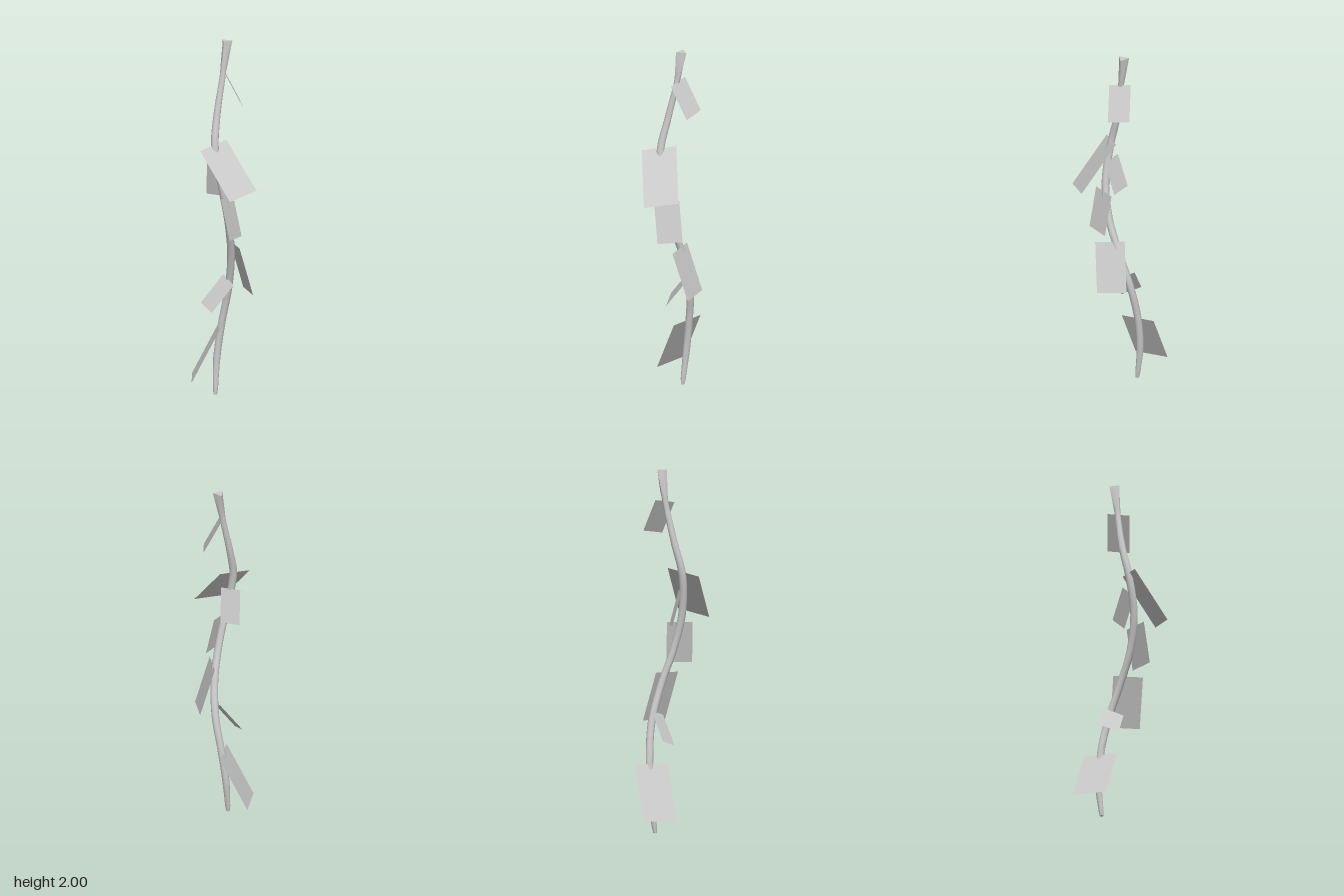
import * as THREE from 'three';
import { toCreasedNormals } from 'three/addons/utils/BufferGeometryUtils.js';

const material = new THREE.MeshStandardMaterial({ color: 0xcccccc });
const leafMaterial = new THREE.MeshStandardMaterial({ color: 0xcccccc, side: THREE.DoubleSide });
const v = (p) => new THREE.Vector3(...p);

// centre line of the stem, root tip to top
const path = new THREE.CatmullRomCurve3([
  [-0.037, 0, -0.115], [-0.027, 0.2, -0.135], [0, 0.4, -0.13], [0.034, 0.6, -0.1],
  [0.043, 0.8, -0.038], [0.022, 1, 0.03], [-0.015, 1.2, 0.063], [-0.052, 1.42, 0.045],
  [-0.037, 1.6, 0.003], [-0.002, 1.82, -0.033], [0.018, 2, -0.052],
].map(v));

// stem radius by height: pointed root, even body, narrow neck
const radii = [[0, 0.01], [0.03, 0.014], [0.2, 0.02], [0.6, 0.021], [1.5, 0.021], [1.83, 0.016], [2, 0.034]];
function radiusAt(y) {
  const i = Math.max(1, radii.findIndex(([h]) => h >= y - 1e-6));
  const [y0, r0] = radii[i - 1], [y1, r1] = radii[i];
  return THREE.MathUtils.mapLinear(y, y0, y1, r0, r1);
}

// a straight cylinder bent along the path; its round section turns triangular at the top
function createStem() {
  const geometry = new THREE.CylinderGeometry(1, 1, 1, 12, 60);
  const pos = geometry.attributes.position;
  const third = Math.PI * 2 / 3;
  for (let i = 0; i < pos.count; i++) {
    const centre = path.getPoint(pos.getY(i) + 0.5);
    const x = pos.getX(i), z = pos.getZ(i);
    const angle = Math.atan2(z, x), size = Math.hypot(x, z);
    const fromSide = THREE.MathUtils.euclideanModulo(angle, third) - third / 2;
    const triangle = 0.5 / Math.cos(fromSide);
    const blend = THREE.MathUtils.clamp((centre.y - 1.83) / 0.17, 0, 1);
    const r = size * radiusAt(centre.y) * THREE.MathUtils.lerp(1, triangle, blend);
    pos.setXYZ(i, centre.x + r * Math.cos(angle), centre.y, centre.z + r * Math.sin(angle));
  }
  const stem = new THREE.Mesh(toCreasedNormals(geometry, 0.9), material);
  stem.name = 'stem';
  return stem;
}

// flat four-cornered leaf: corner, neighbour along its base, neighbour along its length
function createLeaf(corner, across, along) {
  const a = v(corner), b = v(across), d = v(along);
  const c = b.clone().add(d).sub(a);
  const geometry = new THREE.BufferGeometry().setFromPoints([a, b, c, d]);
  geometry.setIndex([0, 1, 2, 0, 2, 3]);
  geometry.computeVertexNormals();
  return new THREE.Mesh(geometry, leafMaterial);
}

const leaves = [
  [[-0.022, 0.376, -0.03], [-0.004, 0.386, -0.223], [-0.172, 0.08, -0.054]],
  [[0.005, 0.672, -0.115], [0.057, 0.635, -0.017], [-0.117, 0.518, -0.108]],
  [[0.08, 0.862, 0.087], [0.039, 0.873, -0.07], [0.157, 0.59, 0.047]],
  [[-0.026, 1.148, 0.122], [0.05, 1.146, 0.003], [0.02, 0.92, 0.143]],
  [[-0.093, 1.336, 0.02], [0.015, 1.327, 0.057], [-0.093, 1.147, -0.037]],
  [[-0.138, 1.418, 0.102], [0.016, 1.453, -0.01], [0.014, 1.162, 0.245]],
  [[0.013, 1.815, 0.03], [0.003, 1.836, -0.092], [0.106, 1.635, 0.003]],
];

export function createModel() {
  const model = new THREE.Group();
  model.name = 'vine';
  model.add(createStem());
  leaves.forEach((corners, i) => {
    const leaf = createLeaf(...corners);
    leaf.name = `leaf${i + 1}`;
    model.add(leaf);
  });
  return model;
}
